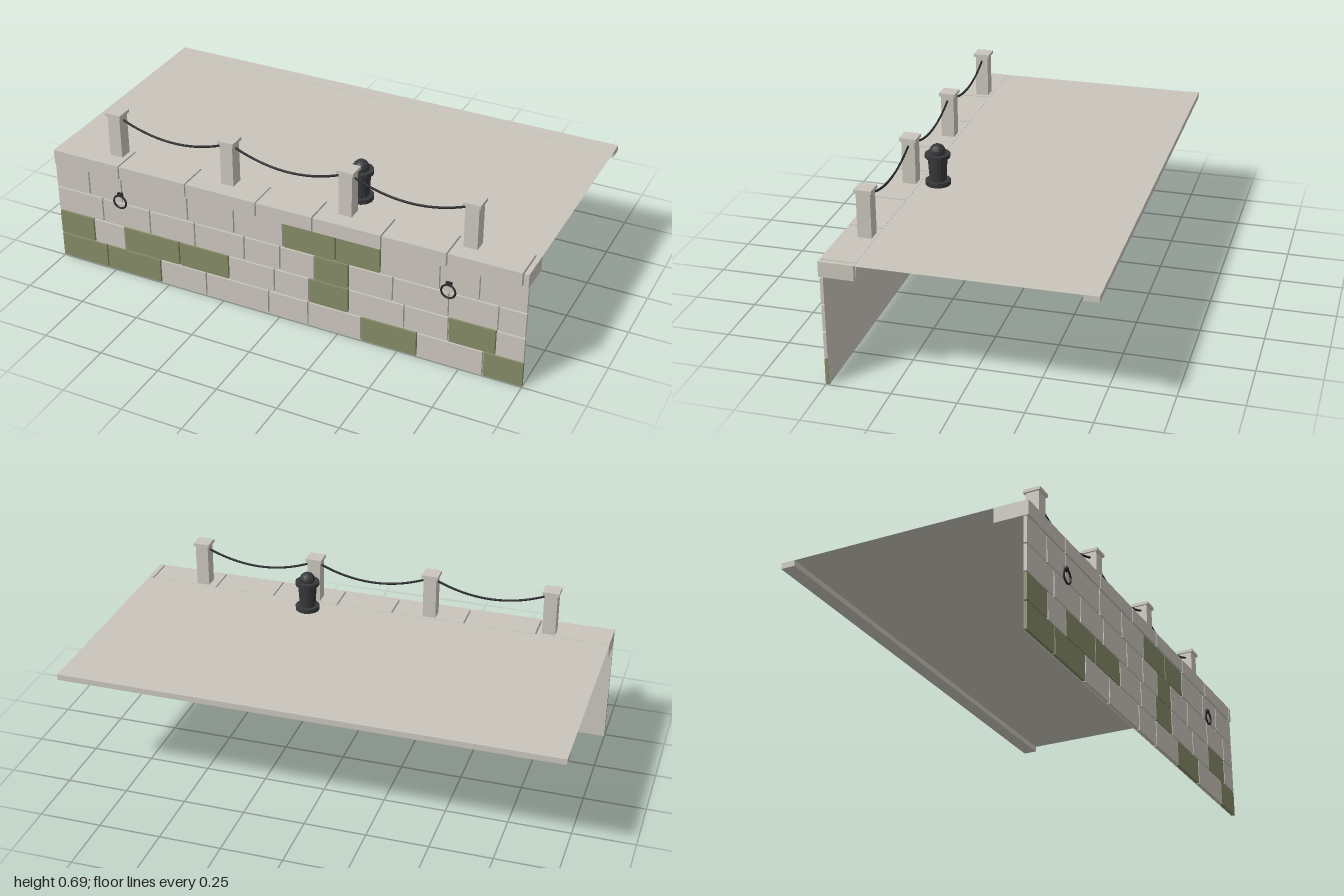
import * as THREE from 'three';

const mat = (name, color) => {
  const m = new THREE.MeshStandardMaterial({ color });
  m.name = name;
  return m;
};

export function createModel() {
  const root = new THREE.Group();
  root.name = 'quayWall';
  const stone = mat('pale stone', 0xc9c5bc);
  const moss = mat('mossy stone', 0x858a67);
  const iron = mat('cast iron', 0x37383a);
  iron.flatShading = true;
  const chainIron = mat('chain iron', 0x28292b);
  const sheetStone = mat('stone sheet', 0xc9c5bc);
  sheetStone.side = THREE.DoubleSide;

  const add = (parent, name, geo, material, x = 0, y = 0, z = 0) => {
    const m = new THREE.Mesh(geo, material);
    m.name = name;
    m.position.set(x, y, z);
    parent.add(m);
    return m;
  };
  // Box given by its limits on each axis
  const block = (parent, name, material, x0, x1, y0, y1, z0, z1) =>
    add(parent, name, new THREE.BoxGeometry(x1 - x0, y1 - y0, z1 - z0), material,
      (x0 + x1) / 2, (y0 + y1) / 2, (z0 + z1) / 2);
  const group = (name) => {
    const g = new THREE.Group();
    g.name = name;
    root.add(g);
    return g;
  };

  // Facing stones: joints of each course and the indices of mossy stones
  const courses = [
    { joints: [-1, -0.786, -0.535, -0.326, -0.048, 0.123, 0.348, 0.578, 0.843, 1], mossy: [0, 1, 6, 8] },
    { joints: [-1, -0.84, -0.695, -0.444, -0.222, -0.021, 0.128, 0.294, 0.524, 0.702, 0.89, 1], mossy: [0, 2, 3, 6, 9] },
    { joints: [-1, -0.79, -0.572, -0.369, -0.15, 0.005, 0.152, 0.294, 0.476, 0.7, 0.895, 1], mossy: [6] },
    { joints: [-1, -0.845, -0.695, -0.397, -0.192, 0.019, 0.24, 0.424, 0.662, 0.818, 1], mossy: [5, 6] },
  ];
  const wall = group('wall');
  const gap = 0.003;
  courses.forEach(({ joints, mossy }, row) => {
    for (let i = 0; i < joints.length - 1; i++) {
      block(wall, 'facingStone', mossy.includes(i) ? moss : stone,
        joints[i] + (i ? gap : 0), joints[i + 1] - (i < joints.length - 2 ? gap : 0),
        row * 0.11 + gap, (row + 1) * 0.11 - gap, 0.4875, 0.5);
    }
  });
  add(wall, 'wallBacking', new THREE.PlaneGeometry(2, 0.44), sheetStone, 0, 0.22, 0.4865);

  // Coping stones along the top of the wall
  const coping = group('coping');
  const copingJoints = [-1, -0.7, -0.4, -0.093, 0.145, 0.427, 0.687, 0.978, 1];
  for (let i = 0; i < copingJoints.length - 1; i++) {
    block(coping, 'copingStone', stone, copingJoints[i] + (i ? gap : 0),
      copingJoints[i + 1] - (i < copingJoints.length - 2 ? gap : 0), 0.44, 0.5, 0.371, 0.505);
  }

  // Thin paving sheet and rear kerb
  const deck = add(root, 'deck', new THREE.PlaneGeometry(2, 0.84), sheetStone, 0, 0.499, -0.045);
  deck.rotation.x = -Math.PI / 2;
  block(root, 'rearKerb', stone, -1, 1, 0.476, 0.5, -0.513, -0.455);

  // Posts with caps
  const postZ = 0.41;
  const postXs = [-0.75, -0.25, 0.25, 0.75];
  const railing = group('railing');
  for (const x of postXs) {
    add(railing, 'post', new THREE.BoxGeometry(0.054, 0.178, 0.054), stone, x, 0.589, postZ);
    add(railing, 'postCap', new THREE.BoxGeometry(0.068, 0.013, 0.068), stone, x, 0.6835, postZ);
  }

  // Hanging chains between neighbouring posts
  for (let i = 0; i < postXs.length - 1; i++) {
    const a = postXs[i] + 0.02, b = postXs[i + 1] - 0.02;
    const curve = new THREE.QuadraticBezierCurve3(
      new THREE.Vector3(a, 0.659, postZ),
      new THREE.Vector3((a + b) / 2, 0.557, postZ),
      new THREE.Vector3(b, 0.659, postZ));
    add(railing, 'chain', new THREE.TubeGeometry(curve, 20, 0.0045, 6), chainIron);
  }

  // Mooring bollard: base, flared body, rim and dome
  const bollard = group('bollard');
  bollard.position.set(0.25, 0.5, 0.3);
  const drum = (name, rTop, rBottom, y0, y1) =>
    add(bollard, name, new THREE.CylinderGeometry(rTop, rBottom, y1 - y0, 14), iron, 0, (y0 + y1) / 2, 0);
  drum('bollardBase', 0.05, 0.05, 0.002, 0.02);
  drum('bollardBody', 0.039, 0.033, 0.02, 0.116);
  drum('bollardRim', 0.05, 0.05, 0.115, 0.13);
  add(bollard, 'bollardDome', new THREE.SphereGeometry(0.032, 14, 10), iron, 0, 0.137, 0);

  // Mooring rings on the wall face
  for (const x of [-0.7, 0.7]) {
    const ring = group('mooringRing');
    ring.position.set(x, 0.342, 0);
    add(ring, 'ring', new THREE.TorusGeometry(0.028, 0.004, 6, 20), chainIron, 0, 0, 0.5095);
    add(ring, 'ringBracket', new THREE.BoxGeometry(0.022, 0.014, 0.014), chainIron, 0, 0.031, 0.505);
  }

  return root;
}
